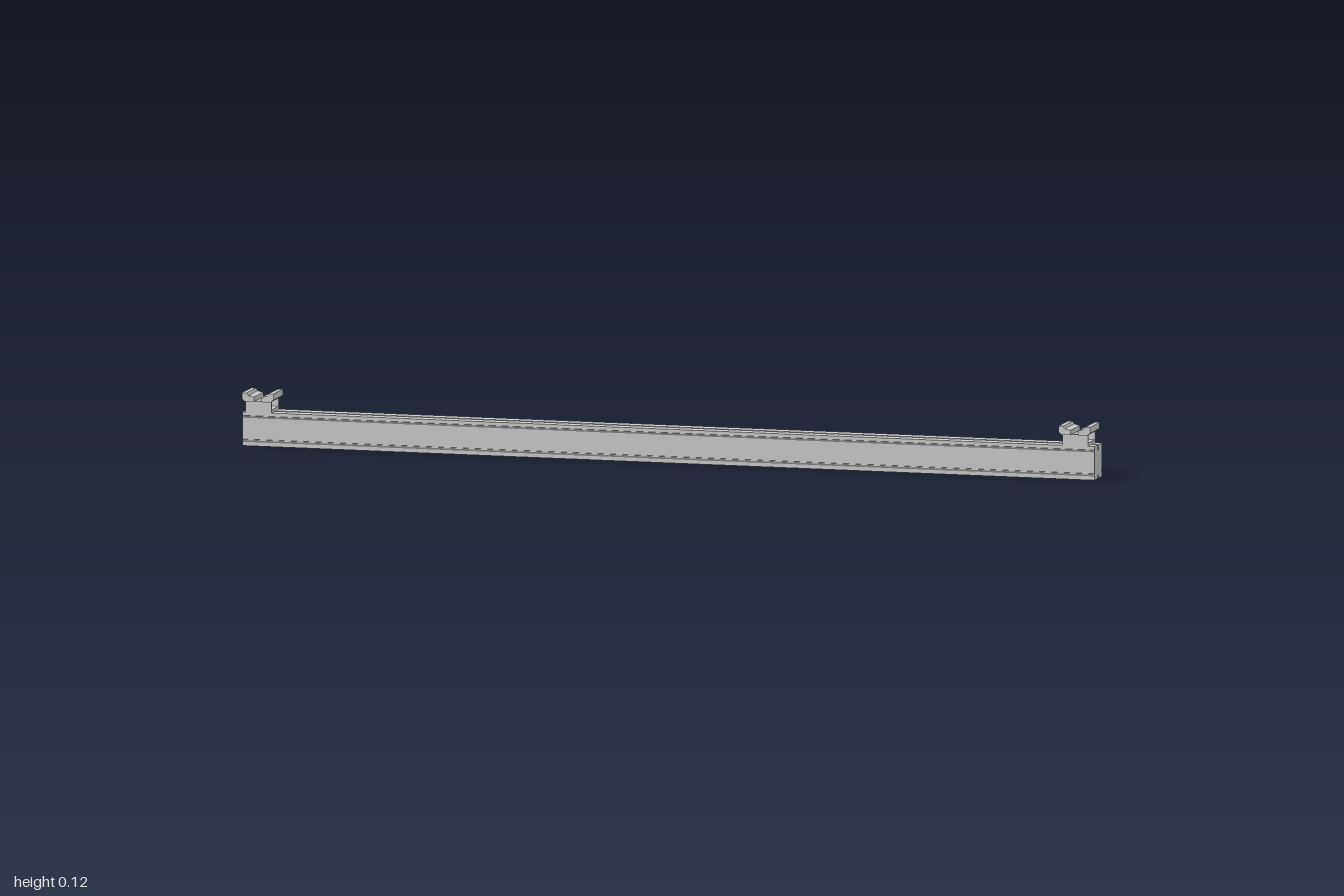
import * as THREE from 'three';

const material = new THREE.MeshStandardMaterial({ color: 0xcccccc, flatShading: true });

function add(parent, name, geometry, x = 0, y = 0, z = 0) {
  const mesh = new THREE.Mesh(geometry, material);
  mesh.name = name;
  mesh.position.set(x, y, z);
  parent.add(mesh);
  return mesh;
}

const shapeOf = (points) => new THREE.Shape(points.map(([x, y]) => new THREE.Vector2(x, y)));

// Slotted rail: half of the (z, y) section, mirrored and run along x
function railGeometry() {
  const half = [
    [0.004, 0], [0.033, 0], [0.033, 0.01], [0.03, 0.011], [0.03, 0.014], [0.033, 0.015],
    [0.033, 0.065], [0.031, 0.066], [0.031, 0.068], [0.033, 0.069], [0.033, 0.077], [0.004, 0.077],
    [0.004, 0.065],
  ];
  const section = [[0.004, 0.008], ...half];
  const mirrored = section.map(([z, y]) => [-z, y]).reverse();
  const geometry = new THREE.ExtrudeGeometry(shapeOf([...section, ...mirrored]), { depth: 2, bevelEnabled: false });
  return geometry.translate(0, 0, -1).rotateY(Math.PI / 2);
}

// Holder: base plate, two side walls and a pair of hooked jaws
function createHolder() {
  const holder = new THREE.Group();
  holder.name = 'holder';
  add(holder, 'holderBase', new THREE.BoxGeometry(0.06, 0.008, 0.066), 0, 0.08, 0);
  for (const side of [-1, 1]) {
    add(holder, 'holderWall', new THREE.BoxGeometry(0.06, 0.02, 0.005), 0, 0.093, side * 0.0305);
    const jaw = shapeOf([
      [0.009, 0.102], [0.03, 0.102], [0.037, 0.108], [0.037, 0.122],
      [0.026, 0.122], [0.022, 0.116], [0.009, 0.113],
    ]);
    const geometry = new THREE.ExtrudeGeometry(jaw, { depth: 0.08, bevelEnabled: false });
    geometry.translate(0, 0, -0.04);
    if (side < 0) geometry.rotateY(Math.PI);
    add(holder, 'holderJaw', geometry);
  }
  return holder;
}

export function createModel() {
  const model = new THREE.Group();
  model.name = 'railWithHolders';
  add(model, 'rail', railGeometry());
  for (const end of [-1, 1]) {
    const holder = createHolder();
    holder.position.x = end * 0.962;
    model.add(holder);
  }
  // The right-hand holder sits slightly further inboard
  model.children[2].position.x = 0.955;
  return model;
}
